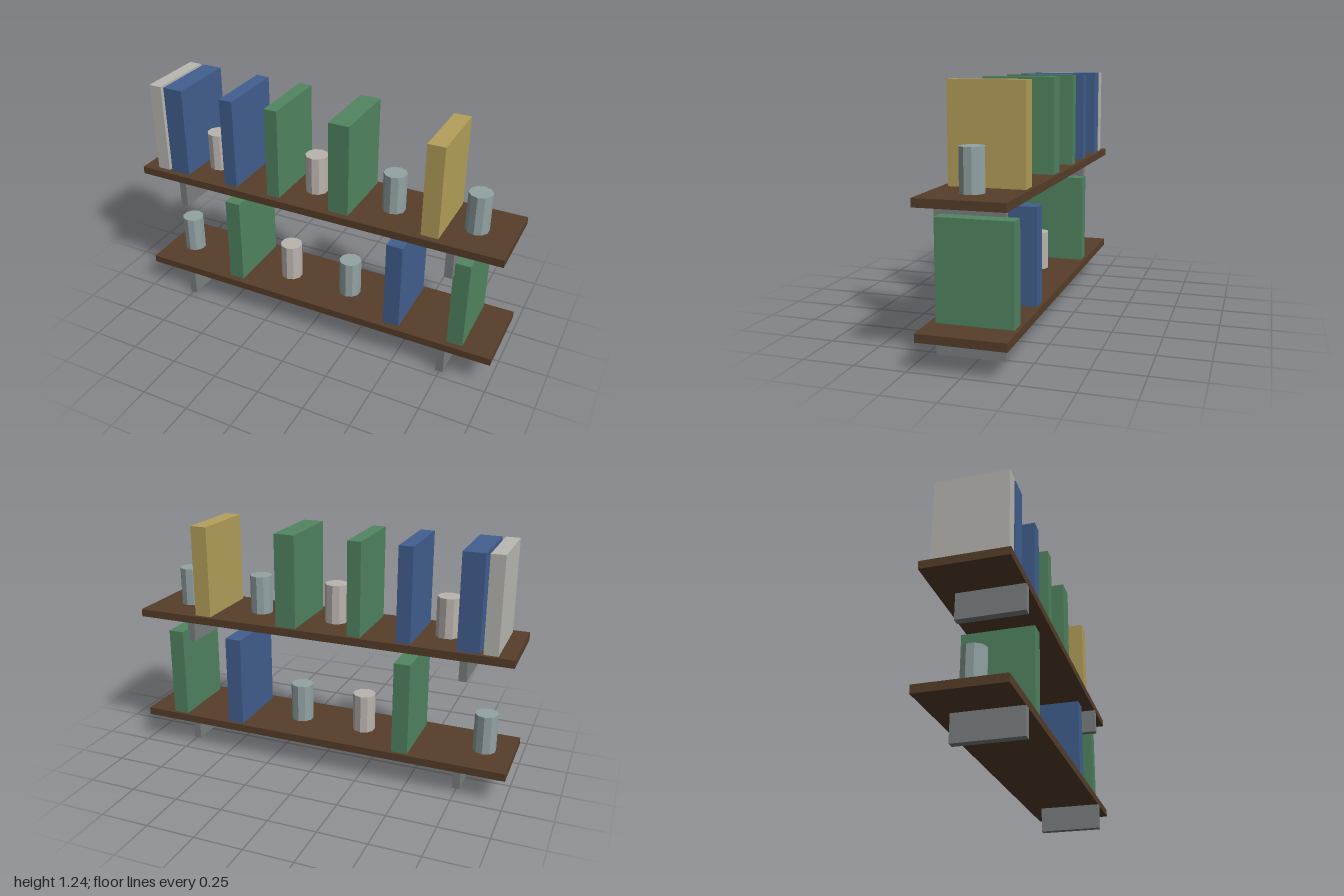
import * as THREE from 'three';

const mat = (name, color, flatShading = false) => {
  const m = new THREE.MeshStandardMaterial({ color, flatShading });
  m.name = name;
  return m;
};

export function createModel() {
  const wood = mat('dark wood', 0x573f2a);
  const metal = mat('grey metal', 0x7b8080);
  const blue = mat('blue cover', 0x426090);
  const green = mat('green cover', 0x518561);
  const yellow = mat('yellow cover', 0xb5a05a);
  const white = mat('pale cover', 0xbab9b3);
  const cream = mat('cream ceramic', 0xbab4ae, true);
  const teal = mat('grey-blue ceramic', 0x93a3a4, true);

  const model = new THREE.Group();
  model.name = 'wallShelves';

  // box from its extents on each axis
  const box = (parent, name, material, [x0, x1], [y0, y1], [z0, z1]) => {
    const mesh = new THREE.Mesh(new THREE.BoxGeometry(x1 - x0, y1 - y0, z1 - z0), material);
    mesh.position.set((x0 + x1) / 2, (y0 + y1) / 2, (z0 + z1) / 2);
    mesh.name = name;
    parent.add(mesh);
  };

  const mugGeometry = new THREE.CylinderGeometry(0.059, 0.059, 0.202, 10);

  // one board with brackets, books and mugs; y is the bottom of the brackets
  const shelf = (name, y, books, mugs) => {
    const group = new THREE.Group();
    group.name = name;
    group.position.y = y;
    box(group, 'board', wood, [-1, 1], [0.136, 0.176], [-0.208, 0.208]);
    for (const x of [-0.748, 0.748])
      box(group, 'bracket', metal, [x - 0.02, x + 0.02], [0, 0.136], [-0.125, 0.208]);
    for (const [x0, x1, cover] of books)
      box(group, 'book', cover, [x0, x1], [0.176, 0.652], [-0.19, 0.175]);
    for (const [x, glaze] of mugs) {
      const mug = new THREE.Mesh(mugGeometry, glaze);
      mug.name = 'mug';
      mug.position.set(x, 0.277, 0.008);
      group.add(mug);
    }
    model.add(group);
  };

  shelf('lowerShelf', 0,
    [[-0.505, -0.422, green], [0.417, 0.503, blue], [0.762, 0.845, green]],
    [[-0.853, teal], [-0.205, cream], [0.152, teal]]);

  shelf('upperShelf', 0.583,
    [[-0.92, -0.85, white], [-0.833, -0.725, blue], [-0.5, -0.428, blue],
      [-0.245, -0.176, green], [0.1, 0.208, green], [0.587, 0.675, yellow]],
    [[-0.632, cream], [-0.045, cream], [0.383, teal], [0.81, teal]]);

  return model;
}
